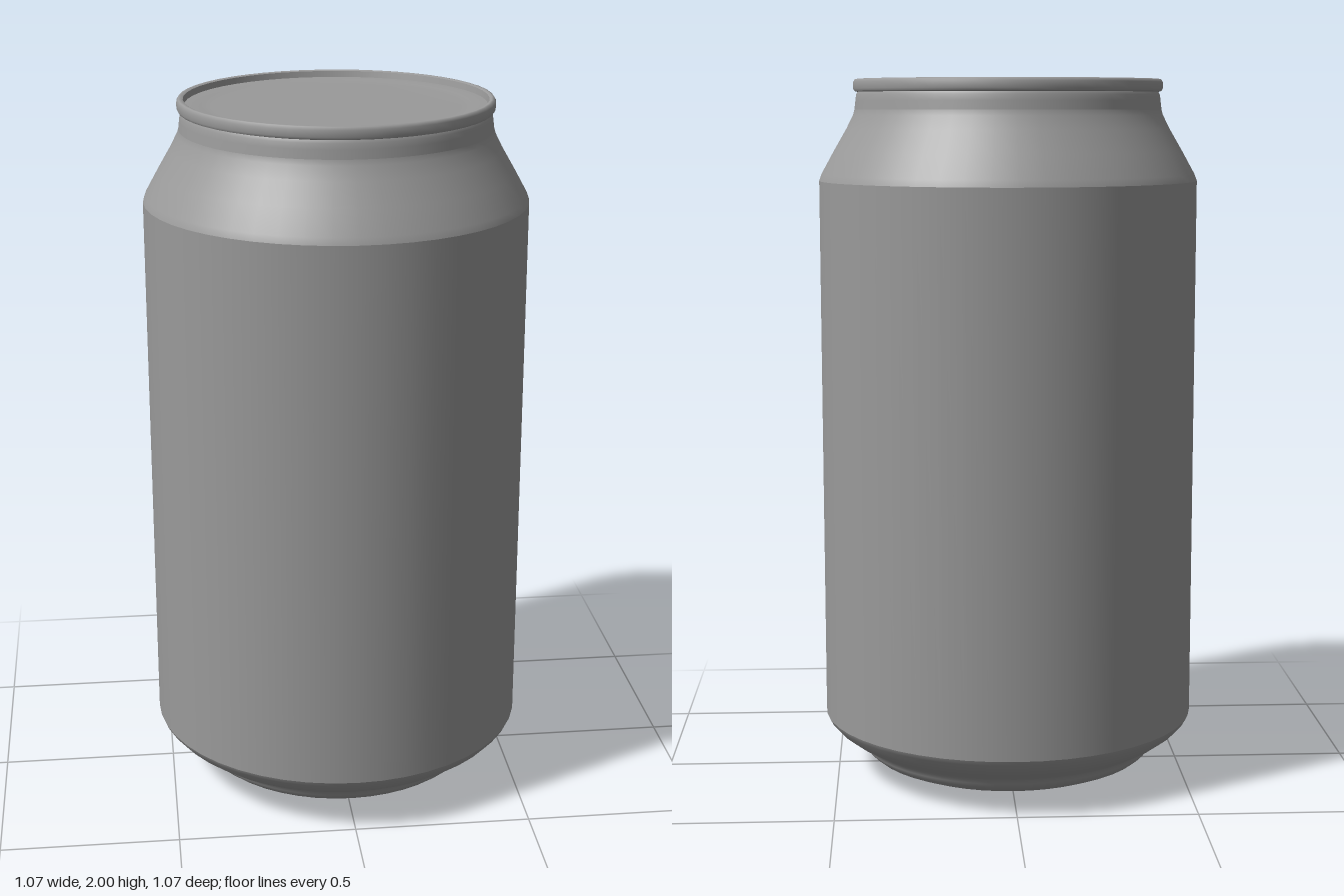
import * as THREE from 'three';

const SEGMENTS = 48;

export function createModel() {
  const can = new THREE.Group();
  can.name = 'drinkCan';
  const metal = new THREE.MeshStandardMaterial({ color: 0x9a9a9a });

  // Each section is a separate lathe, so the joins between them stay crisp.
  // Profiles run [radius, height], upwards on the outside of the can.
  function addSection(name, profile) {
    const points = profile.map(([r, y]) => new THREE.Vector2(r, y));
    const mesh = new THREE.Mesh(new THREE.LatheGeometry(points, SEGMENTS), metal);
    mesh.name = name;
    can.add(mesh);
  }

  // Underside: shallow recessed dome, its wall, and the sloping foot
  addSection('bottomDome', [[0, 0.035], [0.12, 0.032], [0.237, 0.024]]);
  addSection('bottomRecessWall', [[0.237, 0.024], [0.242, 0.002]]);

  // Foot, groove and lower taper flow smoothly into the straight wall
  addSection('foot', [
    [0.242, 0.002], [0.252, 0], [0.36, 0.026], [0.4, 0.043], [0.416, 0.056],
    [0.424, 0.068], [0.428, 0.079], [0.442, 0.09],
    [0.476, 0.108], [0.508, 0.132], [0.53, 0.157], [0.536, 0.17],
  ]);
  addSection('body', [[0.536, 0.17], [0.536, 1.716]]);

  // Shoulder curving in to the neck
  addSection('shoulder', [[0.536, 1.716], [0.529, 1.735], [0.493, 1.8], [0.457, 1.862], [0.438, 1.9], [0.434, 1.915]]);
  addSection('neck', [[0.434, 1.915], [0.431, 1.94], [0.429, 1.956], [0.425, 1.964]]);

  // Rolled rim
  addSection('rimUnderside', [[0.425, 1.964], [0.433, 1.966]]);
  addSection('rim', [[0.433, 1.966], [0.437, 1.973], [0.437, 1.991], [0.432, 1.999], [0.426, 2], [0.419, 1.997]]);

  // Recessed lid with a faint step
  addSection('lidWall', [[0.419, 1.997], [0.416, 1.98]]);
  addSection('lid', [[0.416, 1.98], [0.37, 1.979], [0.345, 1.974], [0, 1.974]]);

  return can;
}
